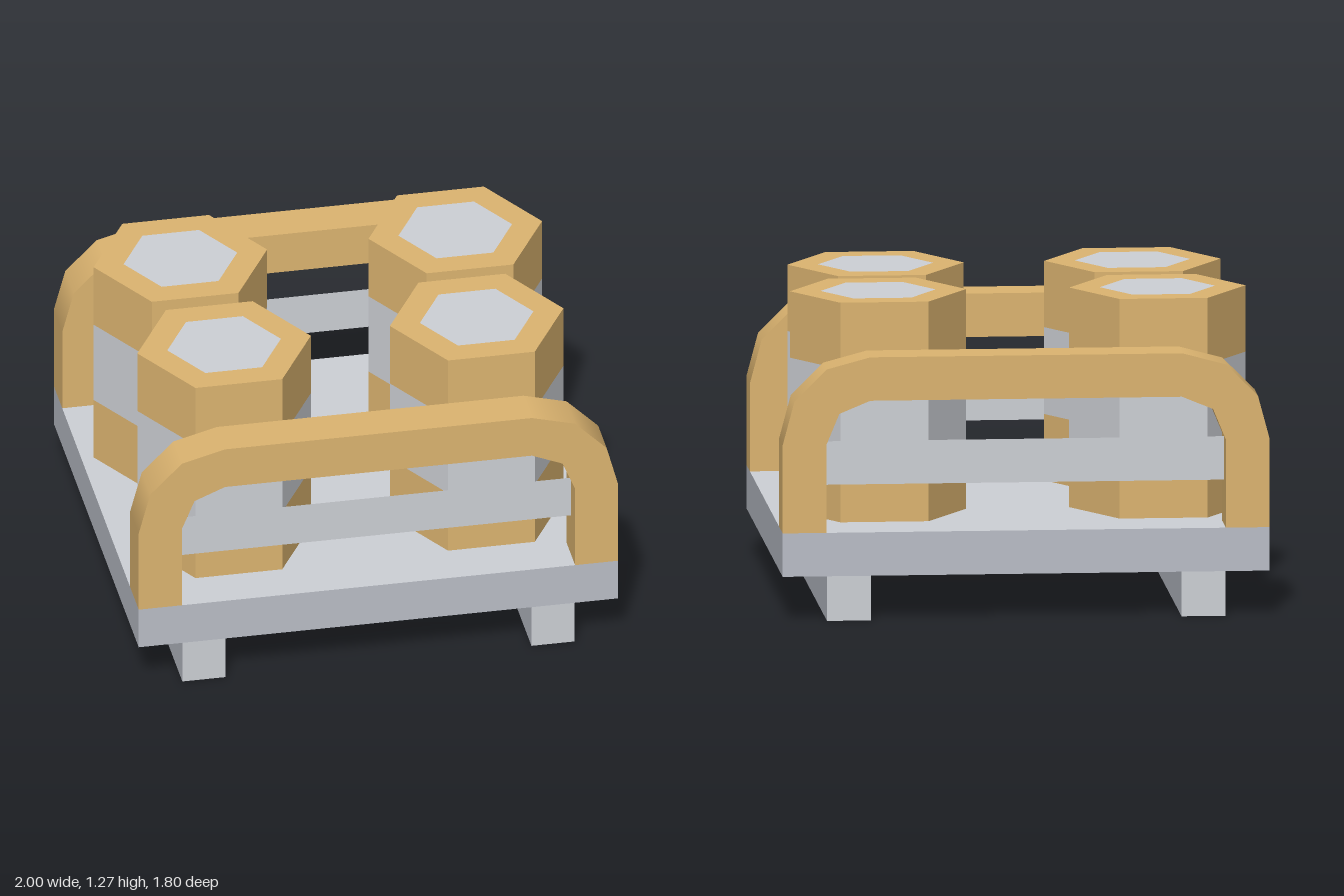
import * as THREE from 'three';

const mat = (color, opts = {}) => {
  const m = new THREE.MeshStandardMaterial(opts);
  m.color.set(color);
  return m;
};
const TAN = 0xdcb470, LIGHT = 0xcdd0d5, DARK = 0xbabec7;
const tan = mat(TAN), light = mat(LIGHT), dark = mat(DARK);
const tanFlat = mat(TAN, { flatShading: true });
const lightFlat = mat(LIGHT, { flatShading: true });
const lightThin = mat(LIGHT, { side: THREE.DoubleSide });

const DECK_TOP = 0.365;

function add(parent, name, geometry, material, x = 0, y = 0, z = 0) {
  const mesh = new THREE.Mesh(geometry, material);
  mesh.name = name;
  mesh.position.set(x, y, z);
  parent.add(mesh);
  return mesh;
}

// Rounded arch with a three-step outer corner and a two-step inner corner
function archGeometry(depth) {
  const cx = 0.64, cy = 0.73;
  const corner = (r, steps) => Array.from({ length: steps + 1 }, (_, i) => {
    const a = (i / steps) * Math.PI / 2;
    return new THREE.Vector2(cx + r * Math.cos(a), cy + r * Math.sin(a));
  });
  const mirror = (pts) => pts.map((p) => new THREE.Vector2(-p.x, p.y)).reverse();
  const side = (r, steps) => [new THREE.Vector2(cx + r, DECK_TOP), ...corner(r, steps)];
  const outer = side(0.36, 3), inner = side(0.18, 2);
  const outline = [...outer, ...mirror(outer), ...[...inner, ...mirror(inner)].reverse()];
  const geo = new THREE.ExtrudeGeometry(new THREE.Shape(outline), { depth, bevelEnabled: false });
  geo.translate(0, 0, -depth / 2);

  // Corner faces get radial normals; straight faces stay flat
  const pos = geo.attributes.position, nor = geo.attributes.normal;
  const n = new THREE.Vector3(), radial = new THREE.Vector3();
  for (let i = 0; i < pos.count; i++) {
    n.fromBufferAttribute(nor, i);
    if (Math.abs(n.x) < 0.01 || Math.abs(n.y) < 0.01) continue;
    radial.set(pos.getX(i) - Math.sign(pos.getX(i)) * cx, pos.getY(i) - cy, 0).normalize();
    if (radial.dot(n) < 0) radial.negate();
    nor.setXYZ(i, radial.x, radial.y, radial.z);
  }
  return geo;
}

// Hexagonal drum in three bands with an inset lid panel
function createDrum(x, z) {
  const drum = new THREE.Group();
  drum.name = 'drum';
  drum.position.set(x, DECK_TOP, z);
  const R = 0.362, r = 0.237, H = 0.91;
  const bands = [
    ['lowerBand', 0, 0.275, tanFlat],
    ['middleBand', 0.275, 0.635, lightFlat],
    ['upperBand', 0.635, H, tanFlat],
  ];
  for (const [name, y0, y1, m] of bands) {
    const g = new THREE.CylinderGeometry(R, R, y1 - y0, 6, 1, true, Math.PI / 6);
    add(drum, name, g, m, 0, (y0 + y1) / 2, 0);
  }
  add(drum, 'lidRim', new THREE.RingGeometry(r, R, 6).rotateX(-Math.PI / 2), tanFlat, 0, H, 0);
  add(drum, 'lidPanel', new THREE.CircleGeometry(r, 6).rotateX(-Math.PI / 2), lightFlat, 0, H, 0);
  return drum;
}

export function createModel() {
  const model = new THREE.Group();
  model.name = 'drumPallet';

  // Deck: darker edges, light top
  add(model, 'deck', new THREE.BoxGeometry(2, 0.18, 1.8),
    [dark, dark, light, dark, dark, dark], 0, 0.275, 0);

  // Runners under the deck: light ends
  for (const s of [-1, 1]) {
    add(model, 'runner', new THREE.BoxGeometry(0.18, 0.185, 1.8),
      [dark, dark, dark, dark, light, light], s * 0.728, 0.0925, 0);
  }

  // Arched guard and thin crossbar at front and back
  const arch = archGeometry(0.18);
  for (const s of [-1, 1]) {
    add(model, 'guardArch', arch, tan, 0, 0, s * 0.81);
    add(model, 'guardCrossbar', new THREE.PlaneGeometry(1.64, 0.18), lightThin, 0, 0.64, s * 0.81);
  }

  // Four drums, slightly out of line
  const spots = [[-0.587, -0.315], [0.56, -0.318], [-0.543, 0.387], [0.513, 0.374]];
  for (const [x, z] of spots) model.add(createDrum(x, z));

  return model;
}
